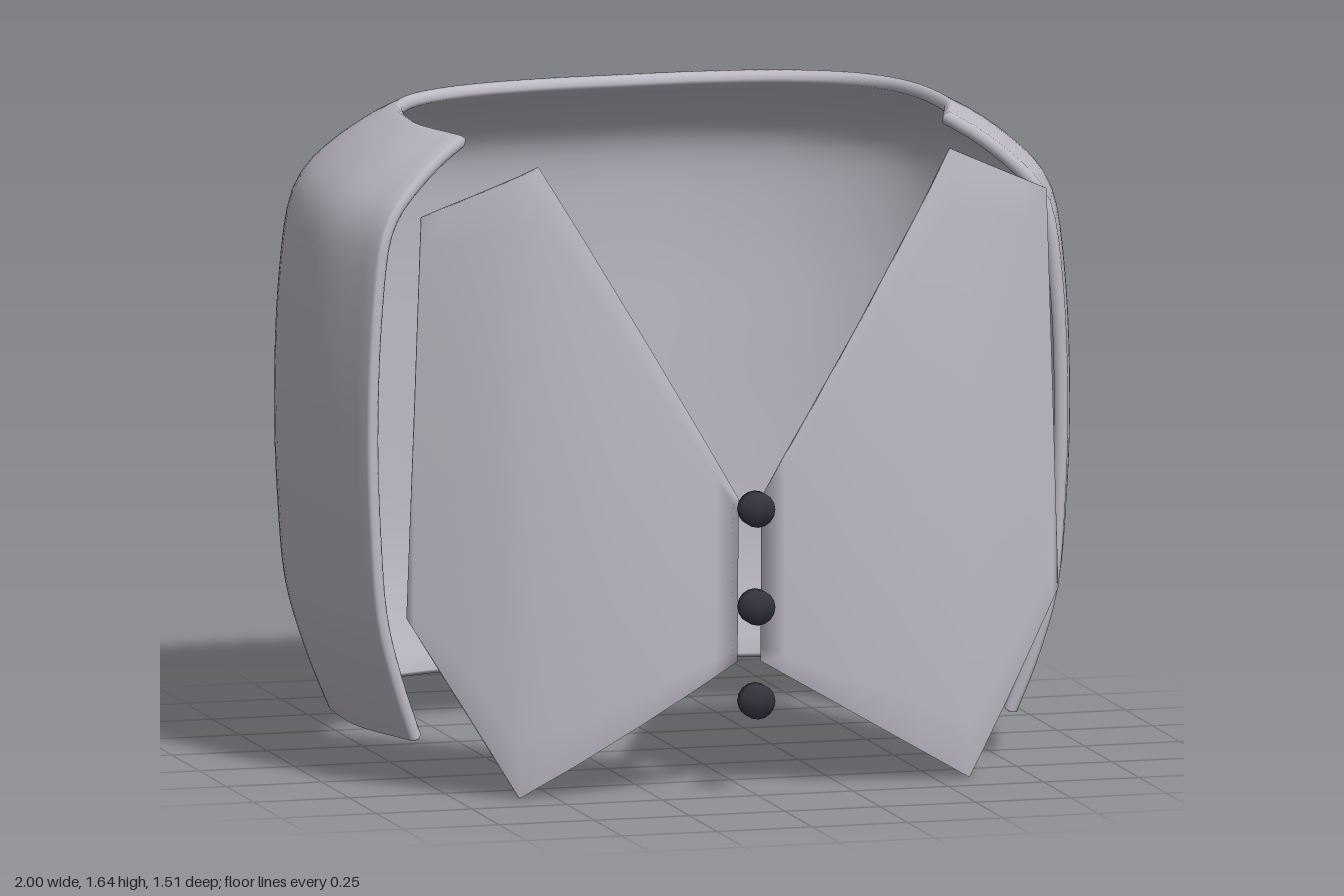
import * as THREE from 'three';
import { mergeVertices } from 'three/addons/utils/BufferGeometryUtils.js';

const cloth = new THREE.MeshStandardMaterial({ color: 0xbebac5 });
const dark = new THREE.MeshStandardMaterial({ color: 0x34343f });

const spline = pts => new THREE.CatmullRomCurve3(pts.map(([a, b, c = 0]) => new THREE.Vector3(a, b, c)), false, 'centripetal');

// Piecewise linear lookup in [x, y] points
function lerpAt(pts, x) {
  for (let i = 1; i < pts.length; i++) {
    const [x0, y0] = pts[i - 1], [x1, y1] = pts[i];
    if (x <= x1) return y0 + (y1 - y0) * (x - x0) / (x1 - x0);
  }
  return pts[pts.length - 1][1];
}

// Skin over a row of closed cross-sections
function loftGeometry(rows) {
  const n = rows[0].length, index = [];
  for (let i = 0; i < rows.length - 1; i++) {
    for (let j = 0; j < n; j++) {
      const k = (j + 1) % n;
      const a = i * n + j, b = i * n + k, c = a + n, d = b + n;
      index.push(a, b, c, b, d, c);
    }
  }
  const g = new THREE.BufferGeometry();
  g.setAttribute('position', new THREE.Float32BufferAttribute(rows.flat(2), 3));
  g.setIndex(index);
  const welded = mergeVertices(g, 1e-5);
  welded.computeVertexNormals();
  return welded;
}

// Wraparound body: a C-shaped plan (x, z) scaled by a side profile (x scale, y, z scale), with a thin wall
function bodyGeometry() {
  const half = [[0.3, -0.745], [0.58, -0.695], [0.79, -0.59], [0.91, -0.45], [0.975, -0.27], [1, -0.03], [0.993, 0.13], [0.92, 0.38]];
  const plan = spline([...half.map(([x, z]) => [-x, z]).reverse(), [0, -0.75], ...half]);
  const profile = spline([[0.865, 0.112, 0.907], [0.92, 0.25, 0.955], [0.97, 0.42, 0.99], [0.992, 0.65, 1], [1, 0.9, 1],
    [0.988, 1.2, 0.995], [0.96, 1.4, 0.97], [0.925, 1.47, 0.935], [0.86, 1.535, 0.865], [0.78, 1.595, 0.775], [0.7, 1.64, 0.685]]);
  const T = 0.035, NU = 80, NV = 36;

  // Closed loop of [v, depth through the wall, extension past the rim]
  const loop = [];
  for (let j = 0; j <= NV; j++) loop.push([j / NV, 0, 0]);
  loop.push([1, 0.2, 0.006], [1, 0.5, 0.01], [1, 0.8, 0.006]);
  for (let j = NV; j >= 0; j--) loop.push([j / NV, 1, 0]);
  loop.push([0, 0.8, -0.004], [0, 0.5, -0.006], [0, 0.2, -0.004]);
  const section = loop.map(([v, w, e]) => {
    const s = profile.getTangentAt(v), len = Math.hypot(s.x, s.y);
    return { p: profile.getPointAt(v), s: s.divideScalar(len), w, e };
  });

  const ring = (u, squeeze, extend) => {
    const c = plan.getPointAt(u), t = plan.getTangentAt(u);
    return section.map(({ p, s, w, e }) => {
      const depth = T * (0.5 + (w - 0.5) * squeeze), inset = depth * s.y;
      return [
        c.x * (p.x + s.x * e) - t.y * inset + t.x * extend,
        p.y + s.y * e + s.x * depth,
        c.y * (p.z + s.z * e) + t.x * inset + t.y * extend,
      ];
    });
  };
  const rows = [ring(0, 0, -0.01), ring(0, 0.6, -0.007)];
  for (let i = 0; i <= NU; i++) rows.push(ring(i / NU, 1, 0));
  rows.push(ring(1, 0.6, 0.007), ring(1, 0, 0.01));
  return loftGeometry(rows);
}

// Angular front panel: thin columns between a lower and an upper edge, bowed in depth
function panelGeometry(side) {
  const upper = [[0.03, 0.75], [0.54, 1.61], [0.82, 1.48], [0.855, 0.455]];
  const lower = [[0.03, 0.33], [0.59, 0], [0.855, 0.455]];
  const depth = [[0.03, 0.678], [0.15, 0.689], [0.28, 0.693], [0.45, 0.682], [0.59, 0.65], [0.68, 0.612], [0.855, 0.518]];
  const xs = [0.03, 0.09, 0.15, 0.21, 0.28, 0.36, 0.45, 0.54, 0.59, 0.64, 0.7, 0.76, 0.82, 0.838, 0.855];
  const N = 12;
  const rows = xs.map(x => {
    const y0 = lerpAt(lower, x), y1 = lerpAt(upper, x), front = [];
    const bow = 0.03 * (1 - (x / 0.855) ** 4);
    for (let j = 0; j <= N; j++) {
      const y = y0 + (y1 - y0) * j / N;
      front.push([side * x, y, lerpAt(depth, x) - bow * ((y - 0.75) / 0.8) ** 2]);
    }
    // The thickness runs out at both ends
    const thick = 0.012 * Math.min(1, (x - 0.03) * 15, (0.855 - x) * 12);
    const back = front.map(([px, py, pz]) => [px, py, pz - thick]).reverse();
    return [...front, ...back];
  });
  // Run the columns so that the faces look outward
  if (side > 0) rows.reverse();
  return loftGeometry(rows);
}

// Short button with softly shaded edges
function buttonGeometry() {
  const g = new THREE.CylinderGeometry(0.045, 0.045, 0.036, 16).rotateX(Math.PI / 2);
  g.deleteAttribute('normal');
  g.deleteAttribute('uv');
  const soft = mergeVertices(g);
  soft.computeVertexNormals();
  return soft;
}

export function createModel() {
  const model = new THREE.Group();
  const add = (name, geometry, material) => {
    const mesh = new THREE.Mesh(geometry, material);
    mesh.name = name;
    model.add(mesh);
    return mesh;
  };

  add('wraparoundBody', bodyGeometry(), cloth);
  add('leftFrontPanel', panelGeometry(1), cloth);
  add('rightFrontPanel', panelGeometry(-1), cloth);

  // Row of buttons down the middle
  const button = buttonGeometry();
  [0.73, 0.48, 0.24].forEach((y, i) => add('button' + (i + 1), button, dark).position.set(0, y, 0.737));

  return model;
}
